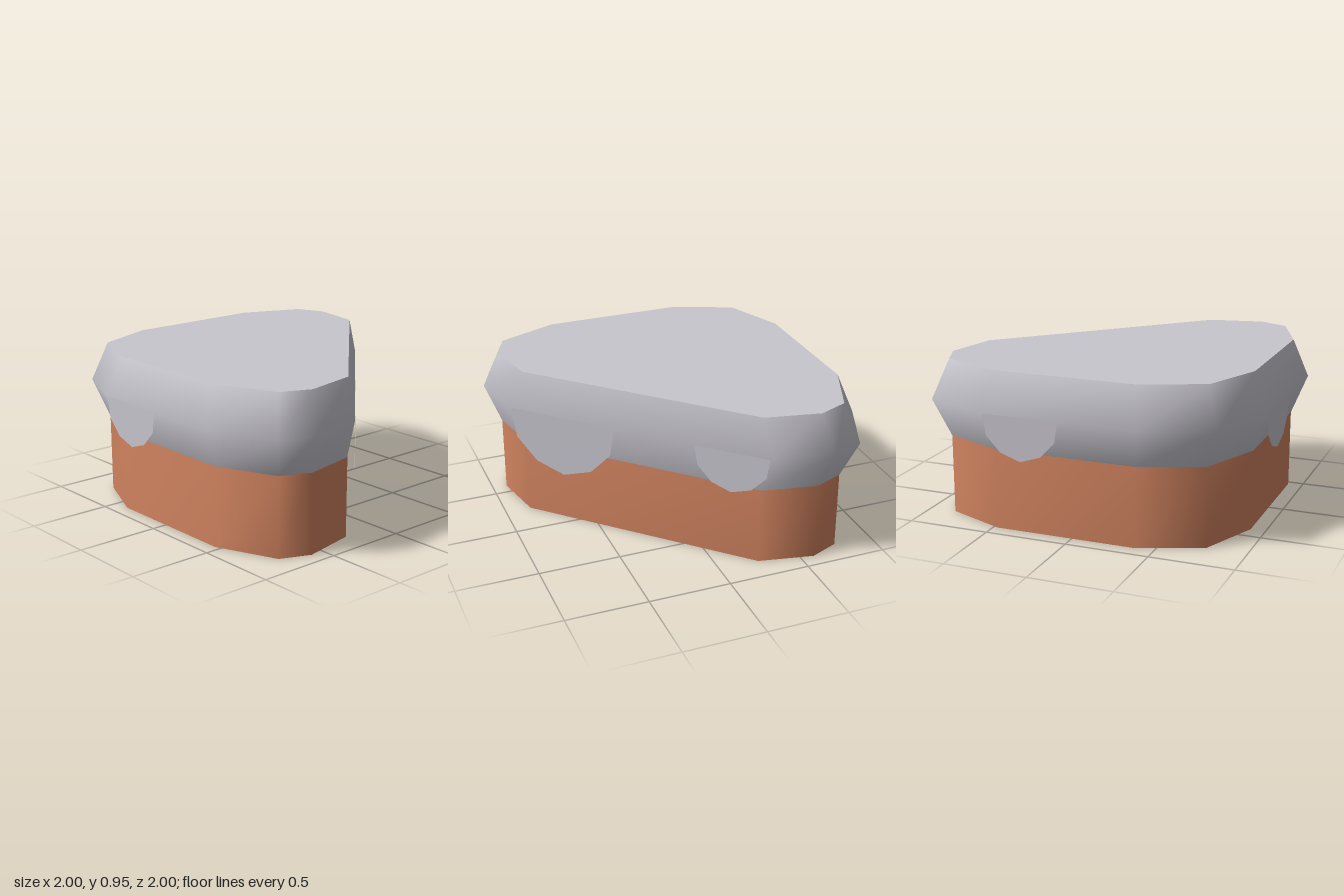
import * as THREE from 'three';

// Widest outline of the cliff (x, z), clockwise seen from above
const OUTLINE = [
  [-0.43, -1], [0.52, -1], [0.92, -0.835], [1, -0.64], [0.925, -0.275],
  [-0.275, 0.925], [-0.64, 1], [-0.835, 0.915], [-1, 0.51], [-1, -0.43], [-0.835, -0.835],
];
const N = OUTLINE.length;
const INSET = 0.91;
const TOP = 0.95, RIDGE = 0.715, SEAM = 0.48;

function toGeometry(positions, index) {
  const g = new THREE.BufferGeometry();
  g.setAttribute('position', new THREE.Float32BufferAttribute(positions, 3));
  g.setIndex(index);
  g.computeVertexNormals();
  return g;
}

// Smooth wall through a stack of [height, scale] rings
function wall(rings) {
  const pos = [], idx = [];
  for (const [y, s] of rings) for (const [x, z] of OUTLINE) pos.push(x * s, y, z * s);
  for (let r = 0; r < rings.length - 1; r++) {
    for (let i = 0; i < N; i++) {
      const a = r * N + i, b = r * N + (i + 1) % N;
      idx.push(a, a + N, b, b, a + N, b + N);
    }
  }
  return toGeometry(pos, idx);
}

// Flat fan closing the outline at one height
function cap(y, up) {
  const pos = [], idx = [];
  for (const [x, z] of OUTLINE) pos.push(x * INSET, y, z * INSET);
  pos.push(-0.1, y, -0.1);
  for (let i = 0; i < N; i++) {
    const j = (i + 1) % N;
    if (up) idx.push(N, j, i);
    else idx.push(N, i, j);
  }
  return toGeometry(pos, idx);
}

// Rounded flap hanging down from the ridge
function dripGeometry(half) {
  const profile = [[-1, 0], [-0.91, -0.54], [-0.53, -0.94], [0, -1.115], [0.53, -0.94], [0.91, -0.54], [1, 0]];
  return new THREE.ShapeGeometry(new THREE.Shape(
    profile.map(([x, y]) => new THREE.Vector2(x * half, y * half))));
}

export function createModel() {
  const group = new THREE.Group();
  group.name = 'cliffBlock';
  const stone = new THREE.MeshStandardMaterial({ color: 0xc8c6ce, side: THREE.DoubleSide });
  stone.name = 'greyStone';
  const earth = new THREE.MeshStandardMaterial({ color: 0xd28460 });
  earth.name = 'terracottaEarth';

  const add = (name, geometry, material) => {
    const mesh = new THREE.Mesh(geometry, material);
    mesh.name = name;
    group.add(mesh);
    return mesh;
  };

  // Earth base
  add('baseWall', wall([[0, INSET], [SEAM, INSET]]), earth);
  add('baseBottom', cap(0, false), earth);

  // Bulging stone layer with flat top
  add('stoneBand', wall([[SEAM, INSET], [RIDGE, 1], [TOP, INSET]]), stone);
  add('stoneTop', cap(TOP, true), stone);

  // Flaps: half width, x, z, turn about y
  const drips = [
    ['frontLargeDrip', 0.35, -0.02, 0.675, Math.PI / 4],
    ['frontSmallDrip', 0.233, 0.755, -0.1, Math.PI / 4],
    ['backDrip', 0.233, 0.27, -1.0, Math.PI],
    ['sideDrip', 0.233, -1.0, -0.19, -Math.PI / 2],
  ];
  for (const [name, half, x, z, turn] of drips) {
    const drip = add(name, dripGeometry(half), stone);
    drip.position.set(x, RIDGE, z);
    drip.rotation.y = turn;
  }
  return group;
}
